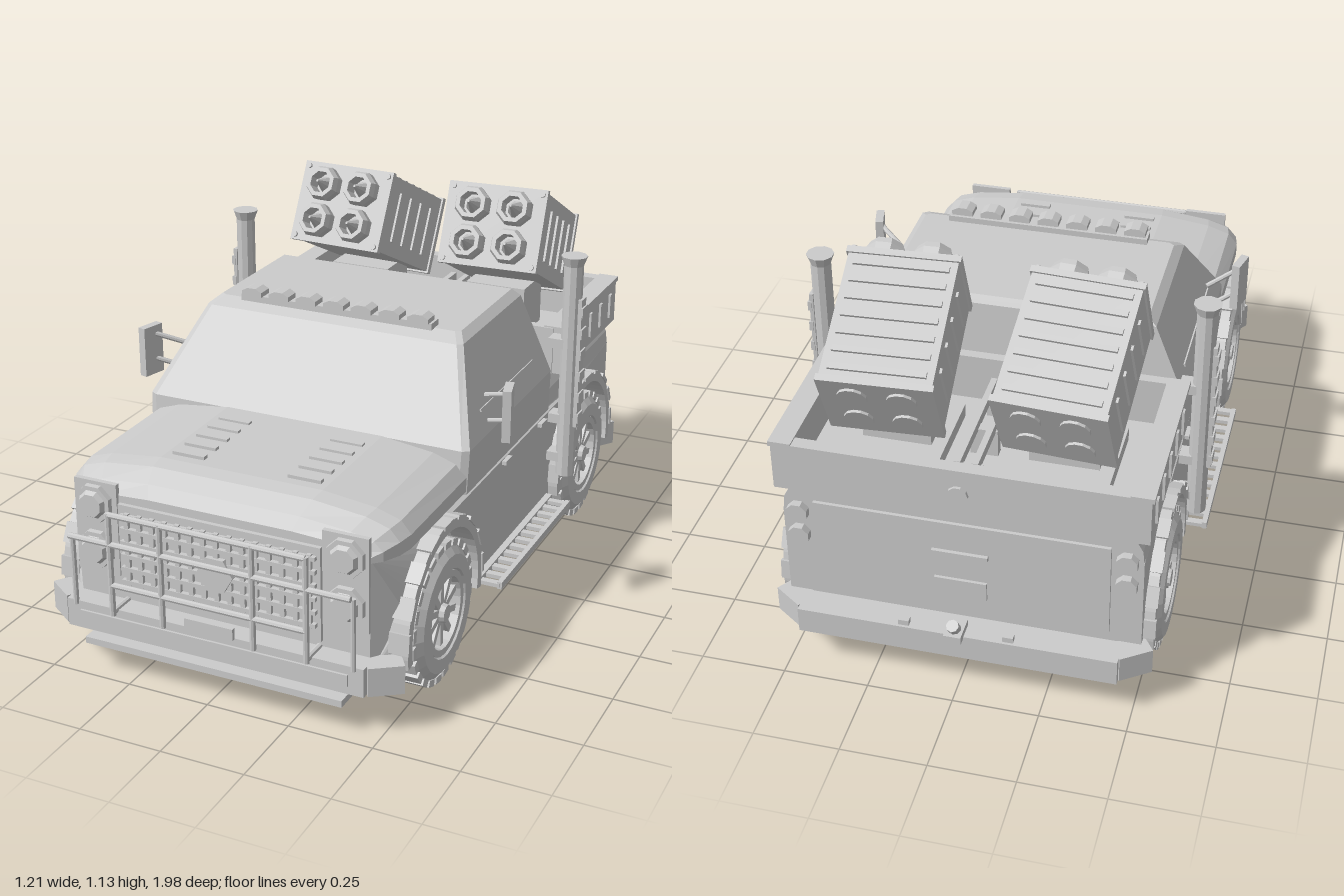
import * as THREE from 'three';

const mat = new THREE.MeshStandardMaterial({ color: 0xcccccc, flatShading: true, side: THREE.DoubleSide });
const AXLES = [0.6, -0.58];

function add(parent, name, geo, x = 0, y = 0, z = 0) {
  const m = new THREE.Mesh(geo, mat);
  m.name = name;
  m.position.set(x, y, z);
  parent.add(m);
  return m;
}
const box = (p, name, w, h, d, x, y, z) => add(p, name, new THREE.BoxGeometry(w, h, d), x, y, z);

// Prism whose axis runs along z, with a flat side on top
const disc = (p, name, r1, r2, len, x, y, z, sides = 8) =>
  add(p, name, new THREE.CylinderGeometry(r1, r2, len, sides).rotateY(Math.PI / sides).rotateX(Math.PI / 2), x, y, z);

// Round bar between two points
function bar(p, name, a, b, r) {
  const A = new THREE.Vector3(...a), B = new THREE.Vector3(...b);
  const m = add(p, name, new THREE.CylinderGeometry(r, r, A.distanceTo(B), 8));
  m.position.copy(A).lerp(B, 0.5);
  m.quaternion.setFromUnitVectors(new THREE.Vector3(0, 1, 0), B.sub(A).normalize());
  return m;
}

// Skin over closed rings, counterclockwise seen from the far end
function loft(rings) {
  const n = rings[0].length, pos = [];
  const mid = r => [0, 1, 2].map(k => r.reduce((s, q) => s + q[k], 0) / n);
  const first = rings[0], last = rings[rings.length - 1];
  for (let j = 0; j < n; j++) {
    const k = (j + 1) % n;
    for (let i = 0; i < rings.length - 1; i++) {
      const a = rings[i][j], b = rings[i][k], c = rings[i + 1][k], d = rings[i + 1][j];
      pos.push(...a, ...b, ...c, ...a, ...c, ...d);
    }
    pos.push(...mid(last), ...last[j], ...last[k], ...mid(first), ...first[k], ...first[j]);
  }
  const g = new THREE.BufferGeometry();
  g.setAttribute('position', new THREE.Float32BufferAttribute(pos, 3));
  g.computeVertexNormals();
  return g;
}

// Extrude a (z, y) side profile across the width
const across = (shape, width) => new THREE.ExtrudeGeometry(shape, { depth: width, bevelEnabled: false, curveSegments: 14 })
  .rotateY(-Math.PI / 2).translate(width / 2, 0, 0);

function bodywork(g) {
  // Lower body with wheel arches through the full width
  const s = new THREE.Shape();
  s.moveTo(-0.87, 0.16);
  s.lineTo(-0.83, 0.16);
  s.absarc(-0.58, 0.22, 0.25, Math.PI, 0, true);
  s.lineTo(-0.33, 0.15);
  s.lineTo(0.35, 0.15);
  s.absarc(0.6, 0.22, 0.25, Math.PI, 0, true);
  s.lineTo(0.85, 0.16);
  s.lineTo(0.905, 0.16);
  s.lineTo(0.905, 0.5);
  s.lineTo(-0.87, 0.5);
  const lower = across(s, 1.02), p = lower.attributes.position;
  for (let i = 0; i < p.count; i++) if (p.getZ(i) > 0.88) p.setX(i, p.getX(i) * 0.88);
  lower.computeVertexNormals();
  add(g, 'lowerBody', lower);

  // Hood, falling and narrowing to the nose
  const hoodRing = ([z, w, top]) => {
    const h = top - 0.49;
    const half = [[0.51, 0], [0.51, 0.35], [0.48, 0.65], [0.41, 0.84], [0.25, 1]];
    return [...half.map(q => [q[0] * w, 0.49 + q[1] * h, z]), ...half.slice().reverse().map(q => [-q[0] * w, 0.49 + q[1] * h, z])];
  };
  add(g, 'hood', loft([[0.38, 1, 0.612], [0.78, 1, 0.607], [0.83, 0.98, 0.6], [0.88, 0.93, 0.57], [0.905, 0.88, 0.535]].map(hoodRing)));

  // Cab, with raked windshield
  const cabRing = ([y, w, zf, zb]) => [[-w, y, zf - 0.012], [-w * 0.96, y, zf], [w * 0.96, y, zf], [w, y, zf - 0.012], [w, y, zb], [-w, y, zb]];
  add(g, 'cab', loft([[0.48, 0.512, 0.41, -0.28], [0.61, 0.515, 0.4, -0.28], [0.85, 0.415, 0.215, -0.26], [0.872, 0.39, 0.17, -0.245]].map(cabRing)));

  // Bed shoulder, floor and stake boards
  const bedRing = ([y, w]) => [[-w, y, -0.27], [w, y, -0.27], [w, y, -0.87], [-w, y, -0.87]];
  add(g, 'bed', loft([[0.49, 0.51], [0.54, 0.505], [0.585, 0.48]].map(bedRing)));
  box(g, 'bedFrontBoard', 1.0, 0.15, 0.03, 0, 0.655, -0.345);
  box(g, 'tailBoard', 1.05, 0.15, 0.04, 0, 0.655, -0.865);
  disc(g, 'tailBadge', 0.03, 0.03, 0.01, 0, 0.65, -0.889, 10);
  box(g, 'tailgate', 0.84, 0.3, 0.012, 0, 0.39, -0.874);
  box(g, 'tailgateHandle', 0.16, 0.015, 0.012, 0, 0.44, -0.885);
  box(g, 'rearPlate', 0.15, 0.06, 0.01, 0, 0.32, -0.884);
  for (const x of [-0.025, 0.025]) box(g, 'bedRail', 0.018, 0.03, 0.4, x, 0.68, -0.6);
  for (const z of [-0.78, -0.6, -0.42]) box(g, 'railSupport', 0.08, 0.09, 0.03, 0, 0.625, z);

  for (const x of [-1, 1]) {
    box(g, 'sideBoard', 0.045, 0.15, 0.55, x * 0.503, 0.655, -0.61);
    box(g, 'boardCap', 0.065, 0.015, 0.55, x * 0.5, 0.727, -0.61);
    for (let i = 0; i < 5; i++) box(g, 'stake', 0.01, 0.08, 0.018, x * 0.528, 0.65, -0.42 - i * 0.1);
    for (const y of [0.42, 0.5]) disc(g, 'tailLamp', 0.032, 0.032, 0.025, x * 0.465, y, -0.88);
    box(g, 'doorHandle', 0.014, 0.012, 0.05, x * 0.517, 0.46, 0.09);
    box(g, 'rearHandle', 0.014, 0.012, 0.05, x * 0.517, 0.46, -0.215);
    const trim = box(g, 'windowSill', 0.008, 0.008, 0.43, x * 0.489, 0.675, 0.035);
    trim.rotation.z = x * 0.4;
    for (let i = 0; i < 5; i++) box(g, 'hoodVent', 0.1, 0.012, 0.02, x * 0.18, 0.611, 0.48 + i * 0.065);
  }
}

function wheel(side) {
  const w = new THREE.Group();
  w.name = 'wheel';
  const v = (...a) => a.map(q => new THREE.Vector2(...q));
  add(w, 'tire', new THREE.LatheGeometry(v([0, -0.08], [0.11, -0.09], [0.165, -0.105], [0.195, -0.085], [0.202, 0], [0.195, 0.085], [0.17, 0.105], [0.13, 0.105], [0.122, 0.09]), 24));
  add(w, 'rim', new THREE.LatheGeometry(v([0.125, 0.06], [0.125, 0.1], [0.105, 0.1], [0.1, 0.065], [0, 0.06]), 24));
  add(w, 'hub', new THREE.CylinderGeometry(0.025, 0.035, 0.045, 10), 0, 0.08, 0);
  for (let i = 0; i < 10; i++) {
    const a = i * Math.PI / 5;
    box(w, 'spoke', 0.08, 0.025, 0.02, Math.cos(a) * 0.065, 0.075, -Math.sin(a) * 0.065).rotation.y = a;
  }
  for (let i = 0; i < 48; i++) {
    const a = i * Math.PI / 24, y = i % 2 ? 0.048 : -0.048;
    box(w, 'tread', 0.02, 0.088, 0.037, Math.cos(a) * 0.2, y, -Math.sin(a) * 0.2).rotation.y = a;
  }
  w.rotation.z = -side * Math.PI / 2;
  return w;
}

function runningGear(g) {
  for (const x of [-1, 1]) for (const z of AXLES) {
    const w = wheel(x);
    w.position.set(x * 0.44, 0.21, z);
    g.add(w);
    // Arch flare with bolted segments
    const s = new THREE.Shape();
    s.absarc(0, 0, 0.265, -0.2, Math.PI + 0.2, false);
    s.absarc(0, 0, 0.235, Math.PI + 0.2, -0.2, true);
    add(g, 'archFlare', across(s, 0.07), x * 0.505, 0.22, z);
    for (let i = 0; i < 9; i++) {
      const a = 0.1 + i * (Math.PI - 0.2) / 8;
      box(g, 'flarePlate', 0.06, 0.012, 0.06, x * 0.515, 0.22 + Math.sin(a) * 0.264, z + Math.cos(a) * 0.264).rotation.x = Math.PI / 2 - a;
    }
  }
  for (const z of AXLES) bar(g, 'axle', [-0.36, 0.21, z], [0.36, 0.21, z], 0.025);
  for (const x of [-1, 1]) {
    // Side steps with open slats
    box(g, 'stepRail', 0.015, 0.022, 0.6, x * 0.59, 0.17, 0.02);
    box(g, 'stepRail', 0.02, 0.022, 0.64, x * 0.52, 0.17, 0.02);
    for (let i = 0; i < 13; i++) box(g, 'stepSlat', 0.07, 0.012, 0.022, x * 0.555, 0.17, -0.27 + i * 0.0485);
    // Exhaust stacks with heat shields
    add(g, 'exhaustStack', new THREE.CylinderGeometry(0.03, 0.03, 0.7, 10), x * 0.565, 0.61, -0.31);
    add(g, 'exhaustTip', new THREE.CylinderGeometry(0.041, 0.03, 0.03, 10), x * 0.565, 0.968, -0.31);
    box(g, 'heatShield', 0.012, 0.42, 0.04, x * 0.596, 0.64, -0.31);
    for (let i = 0; i < 6; i++) box(g, 'shieldRib', 0.012, 0.03, 0.046, x * 0.601, 0.46 + i * 0.07, -0.31);
    for (const y of [0.32, 0.45, 0.7]) box(g, 'stackBracket', 0.06, 0.03, 0.05, x * 0.53, y, -0.31);
    // Mirrors
    box(g, 'mirror', 0.025, 0.155, 0.075, x * 0.582, 0.697, 0.275).rotation.y = x * 0.25;
    for (const y of [0.64, 0.72]) bar(g, 'mirrorArm', [x * 0.58, y + 0.03, 0.27], [x * 0.49, y - 0.01, 0.21], 0.008);
  }
}

function frontEnd(g) {
  box(g, 'bumper', 0.92, 0.085, 0.08, 0, 0.168, 0.93);
  box(g, 'bumperInset', 0.83, 0.035, 0.01, 0, 0.168, 0.972);
  box(g, 'frontStep', 0.8, 0.02, 0.14, 0, 0.095, 0.91);
  box(g, 'frontStepLip', 0.66, 0.03, 0.03, 0, 0.112, 0.9);
  box(g, 'frontPlate', 0.15, 0.035, 0.012, 0, 0.225, 0.975);
  box(g, 'grilleFrame', 0.62, 0.28, 0.02, 0, 0.37, 0.908);
  for (let i = 0; i < 15; i++) box(g, 'grilleBar', 0.014, 0.22, 0.015, -0.28 + i * 0.04, 0.38, 0.922);
  for (let i = 0; i < 6; i++) box(g, 'grilleBar', 0.6, 0.012, 0.015, 0, 0.28 + i * 0.04, 0.924);
  disc(g, 'grilleShield', 0.055, 0.055, 0.015, 0, 0.37, 0.93, 6);
  for (const x of [-1, 1]) {
    box(g, 'bumperWing', 0.1, 0.085, 0.075, x * 0.488, 0.168, 0.902).rotation.y = x * 0.6;
    box(g, 'lampPanel', 0.135, 0.28, 0.015, x * 0.382, 0.425, 0.908);
    for (const y of [0.5, 0.36]) {
      disc(g, 'headlampRing', 0.057, 0.06, 0.025, x * 0.385, y, 0.918);
      disc(g, 'headlamp', 0.035, 0.045, 0.015, x * 0.385, y, 0.936);
    }
    // Bull bar uprights
    for (const q of [0.14, 0.3]) bar(g, 'bullBar', [x * q, 0.2, 0.985], [x * q, 0.515, 0.985], 0.009);
    bar(g, 'bullBar', [x * 0.43, 0.2, 0.97], [x * 0.43, 0.415, 0.97], 0.008);
    bar(g, 'bullBarMount', [x * 0.3, 0.21, 0.985], [x * 0.3, 0.21, 0.9], 0.009);
  }
  for (const [w, y] of [[0.3, 0.51], [0.43, 0.42], [0.3, 0.295]]) bar(g, 'bullBar', [-w, y, 0.985], [w, y, 0.985], 0.009);
  // Roof lights
  box(g, 'lightBar', 0.62, 0.02, 0.05, 0, 0.88, 0.165);
  for (let i = -3; i <= 3; i++) disc(g, 'roofLamp', 0.035, 0.035, 0.05, i * 0.09, 0.897, 0.175).scale.y = 0.55;
}

function rearEnd(g) {
  box(g, 'rearBumper', 0.92, 0.08, 0.085, 0, 0.168, -0.915);
  box(g, 'rearStep', 0.66, 0.018, 0.12, 0, 0.112, -0.84);
  for (const x of [-1, 1]) {
    box(g, 'rearWing', 0.1, 0.08, 0.07, x * 0.485, 0.168, -0.885).rotation.y = -x * 0.6;
    box(g, 'bumperTab', 0.03, 0.02, 0.02, x * 0.15, 0.215, -0.94);
  }
  box(g, 'hitch', 0.05, 0.025, 0.08, 0, 0.215, -0.945);
  bar(g, 'hitchPin', [0, 0.21, -0.94], [0, 0.26, -0.975], 0.018);
}

// Tilted rocket pod, two by two tubes
function rocketPod(side) {
  const p = new THREE.Group();
  p.name = 'rocketPod';
  box(p, 'podCase', 0.31, 0.25, 0.41, 0, 0, 0);
  box(p, 'podFrontFrame', 0.322, 0.262, 0.02, 0, 0, 0.203);
  box(p, 'podRearFrame', 0.322, 0.262, 0.02, 0, 0, -0.203);
  for (let i = 0; i < 7; i++) box(p, 'topSlat', 0.27, 0.012, 0.018, 0, 0.127, -0.165 + i * 0.055);
  for (const x of [-1, 1]) {
    for (let i = 0; i < 4; i++) box(p, 'sideSlat', 0.012, 0.16, 0.016, x * 0.156, 0, -0.12 + i * 0.08);
    for (const y of [-1, 1]) {
      const tx = x * 0.068, ty = y * 0.06;
      add(p, 'tube', new THREE.LatheGeometry([[0.055, 0], [0.058, 0.04], [0.05, 0.06], [0.036, 0.06], [0.036, 0.005]].map(q => new THREE.Vector2(...q)), 8)
        .rotateY(Math.PI / 8).rotateX(Math.PI / 2), tx, ty, 0.205);
      disc(p, 'rocketTip', 0.004, 0.028, 0.07, tx, ty, 0.25);
      disc(p, 'rearCap', 0.042, 0.042, 0.012, tx, ty, -0.215, 12);
      disc(p, 'cornerBolt', 0.009, 0.009, 0.01, x * 0.145, y * 0.115, 0.216);
    }
  }
  p.rotation.set(-0.454, side * 0.06, 0, 'YXZ');
  p.position.set(side * 0.25, 0.915, -0.595);
  return p;
}

export function createModel() {
  const g = new THREE.Group();
  g.name = 'rocketTruck';
  bodywork(g);
  runningGear(g);
  frontEnd(g);
  rearEnd(g);
  for (const x of [-1, 1]) {
    g.add(rocketPod(x));
    box(g, 'podPedestal', 0.2, 0.2, 0.16, x * 0.24, 0.68, -0.58);
    box(g, 'podCradle', 0.28, 0.04, 0.3, x * 0.24, 0.605, -0.6);
  }
  return g;
}
